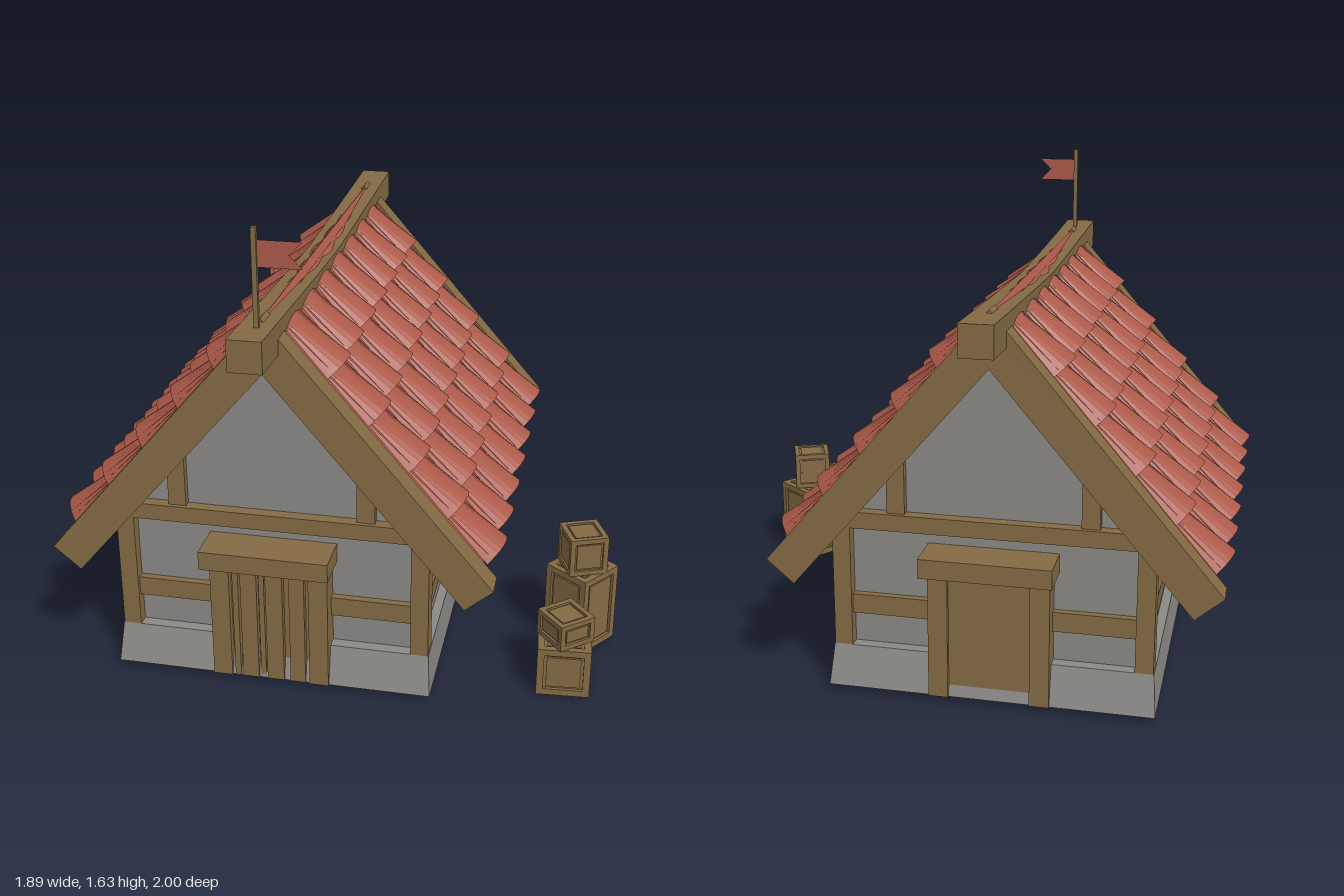
import * as THREE from 'three';
import { toCreasedNormals } from 'three/addons/utils/BufferGeometryUtils.js';

const mat = (name, color, extra = {}) => {
  const m = new THREE.MeshStandardMaterial({ color, ...extra });
  m.name = name;
  return m;
};

export function createModel() {
  const wood = mat('wood brown', 0x846a44);
  const stone = mat('plaster grey', 0x8b8986);
  const red = mat('tile red', 0xab5949);
  const cloth = mat('flag red', 0xab5949, { side: THREE.DoubleSide });

  const model = new THREE.Group();
  model.name = 'cottage';

  const add = (parent, name, geometry, material) => {
    const m = new THREE.Mesh(geometry, material);
    m.name = name;
    parent.add(m);
    return m;
  };
  // Box given by its minimum and maximum corners
  const box = (parent, name, material, [x0, x1], [y0, y1], [z0, z1]) => {
    const m = add(parent, name, new THREE.BoxGeometry(x1 - x0, y1 - y0, z1 - z0), material);
    m.position.set((x0 + x1) / 2, (y0 + y1) / 2, (z0 + z1) / 2);
    return m;
  };
  const warp = (geometry, rule) => {
    const p = geometry.attributes.position, v = new THREE.Vector3();
    for (let i = 0; i < p.count; i++) {
      rule(v.fromBufferAttribute(p, i));
      p.setXYZ(i, v.x, v.y, v.z);
    }
    geometry.computeVertexNormals();
    return geometry;
  };

  const house = new THREE.Group();
  house.name = 'house';
  house.position.x = -0.187;
  model.add(house);

  // Flared stone plinth
  const plinth = warp(new THREE.BoxGeometry(2, 0.135, 2), (v) => {
    v.x *= v.y > 0 ? 0.532 : 0.543;
    v.z *= v.y > 0 ? 0.79 : 0.825;
  });
  add(house, 'plinth', plinth, stone).position.y = 0.0875;

  // Walls with both gables
  const wallShape = new THREE.Shape([[-0.5, 0.14], [0.5, 0.14], [0.5, 0.63], [0, 1.21], [-0.5, 0.63]]
    .map(([x, y]) => new THREE.Vector2(x, y)));
  const walls = new THREE.ExtrudeGeometry(wallShape, { depth: 1.5, bevelEnabled: false });
  walls.translate(0, 0, -0.75);
  add(house, 'walls', walls, stone);

  // Timber frame and doorway of each gable
  for (const end of [0, 1]) {
    const gable = new THREE.Group();
    gable.name = end ? 'backGable' : 'frontGable';
    gable.rotation.y = end * Math.PI;
    house.add(gable);
    box(gable, 'crossBeam', wood, [-0.53, 0.53], [0.57, 0.626], [0.7, 0.79]);
    box(gable, 'gableRail', wood, [-0.5, 0.5], [0.265, 0.332], [0.7, 0.775]);
    for (const s of [-1, 1]) {
      const span = (a, b) => (s > 0 ? [a, b] : [-b, -a]);
      box(gable, 'cornerPost', wood, span(0.47, 0.53), [0.15, 0.6], [0.715, 0.79]);
      box(gable, 'gablePost', wood, span(0.288, 0.348), [0.61, 0.83], [0.7, 0.775]);
      box(gable, 'doorPost', wood, span(0.135, 0.2), [0.02, 0.47], [0.7, 0.832]);
    }
    box(gable, 'lintel', wood, [-0.216, 0.216], [0.46, 0.525], [0.7, 0.892]);
    box(gable, 'doorPanel', wood, [-0.14, 0.14], [0.02, 0.47], [0.7, end ? 0.815 : 0.805]);
    if (!end) {
      for (const [a, b] of [[-0.125, -0.105], [-0.098, -0.042], [-0.012, 0.046], [0.068, 0.12]])
        box(gable, 'doorPlank', wood, [a, b], [0.02, 0.455], [0.8, 0.828]);
      box(gable, 'doorPlank', wood, [-0.036, -0.018], [0.02, 0.455], [0.8, 0.822]);
    }
  }
  for (const s of [-1, 1])
    box(house, 'sideRail', wood, s > 0 ? [0.47, 0.518] : [-0.518, -0.47], [0.263, 0.33], [-0.73, 0.73]);

  // Roof tile: an arched band that flattens towards its upper end
  const TILE = 0.26, arch = [];
  for (let i = 0; i <= 12; i++) {
    const u = i / 6 - 1;
    arch.push(new THREE.Vector2(u * 0.1, 0.068 * (1 - u * u)));
  }
  for (let i = 12; i >= 0; i--) {
    const u = i / 6 - 1;
    arch.push(new THREE.Vector2(u * 0.088, 0.054 * (1 - u * u) - 0.003));
  }
  const tile = toCreasedNormals(warp(
    new THREE.ExtrudeGeometry(new THREE.Shape(arch), { depth: TILE, bevelEnabled: false }),
    (v) => {
      const t = v.z / TILE;
      v.x *= 0.92 + 0.08 * t;
      v.y *= 0.06 + 0.94 * t;
      v.z -= TILE;
    }), 0.6);

  // Sloped slab in roof space: z runs down the slope, y is outward; cut upright at the ridge
  const slope = (x0, x1, thick, top, length, flare = 0) => warp(new THREE.BoxGeometry(1, 1, 1), (v) => {
    const low = v.z > 0;
    v.x = v.x < 0 ? x0 - (low && x0 < -0.74 && x1 < 0 ? flare : 0) : x1 + (low && x0 > 0 ? flare : 0);
    v.y = v.y > 0 ? top : top - thick;
    v.z = low ? length : -v.y * 1.166;
  });

  const pitch = 0.8625;
  const down = new THREE.Vector3(Math.cos(pitch), -Math.sin(pitch), 0);
  const out = new THREE.Vector3(Math.sin(pitch), Math.cos(pitch), 0);
  for (const s of [0, 1]) {
    const side = new THREE.Group();
    side.name = s ? 'rightRoof' : 'leftRoof';
    side.rotation.y = s * Math.PI;
    house.add(side);
    const plane = new THREE.Group();
    plane.name = 'roofSlope';
    plane.quaternion.setFromRotationMatrix(
      new THREE.Matrix4().makeBasis(new THREE.Vector3(0, 0, -1), out, down));
    plane.position.y = 1.315;
    side.add(plane);
    add(plane, 'roofBoard', slope(-0.738, 0.738, 0.08, 0, 1.075), red);
    add(plane, 'rafter', slope(0.743, 0.82, 0.121, 0.006, 1.137, 0.015), wood);
    add(plane, 'rafter', slope(-0.82, -0.743, 0.121, 0.006, 1.137, 0.015), wood);
    for (let row = 0; row < 5; row++)
      for (let col = -3; col <= 3; col++)
        add(plane, 'roofTile', tile, red).position.set(col * 0.207, 0, 0.286 + row * 0.2012);
  }

  // Sagging ridge beam
  const ridge = warp(new THREE.BoxGeometry(0.11, 0.105, 2, 1, 1, 8), (v) => {
    v.y += 1.233 + 0.035 * Math.abs(v.z) ** 1.2;
  });
  add(house, 'ridgeBeam', toCreasedNormals(ridge, 0.5), wood);

  // Flag on its pole
  box(model, 'flagPole', wood, [-0.191, -0.175], [1.28, 1.63], [0.862, 0.878]);
  const flag = new THREE.Shape([[-0.18, 1.505], [-0.036, 1.505], [-0.078, 1.548], [-0.036, 1.59], [-0.18, 1.59]]
    .map(([x, y]) => new THREE.Vector2(x, y)));
  add(model, 'flag', new THREE.ShapeGeometry(flag), cloth).position.z = 0.87;

  // Crates: core, edge frame and raised panels
  const crate = (name, x, y, z, w, h, turn) => {
    const g = new THREE.Group();
    g.name = name;
    g.position.set(x, y + h / 2, z);
    g.rotation.y = THREE.MathUtils.degToRad(turn);
    model.add(g);
    const t = w * 0.13, d = w * 0.06, size = [w, h, w];
    add(g, 'crateCore', new THREE.BoxGeometry(w - 2 * d, h - 2 * d, w - 2 * d), wood);
    for (let axis = 0; axis < 3; axis++) {
      const [a, b] = [(axis + 1) % 3, (axis + 2) % 3];
      const panel = size.map((n, i) => (i === axis ? n - d * 0.7 : n - 2 * t - w * 0.1));
      add(g, 'cratePanel', new THREE.BoxGeometry(...panel), wood);
      const bar = new THREE.BoxGeometry(...size.map((n, i) => (i === axis ? n : t)));
      for (const i of [-1, 1]) for (const j of [-1, 1]) {
        const p = [0, 0, 0];
        p[a] = i * (size[a] - t) / 2;
        p[b] = j * (size[b] - t) / 2;
        add(g, 'crateEdge', bar, wood).position.set(...p);
      }
    }
  };
  crate('tallCrate', 0.818, 0.005, 0.333, 0.176, 0.29, -37);
  crate('tallCrateTop', 0.816, 0.295, 0.337, 0.136, 0.14, 22);
  crate('lowCrate', 0.782, 0, 0.615, 0.178, 0.177, 4);
  crate('lowCrateTop', 0.783, 0.177, 0.615, 0.136, 0.093, 40);

  return model;
}
